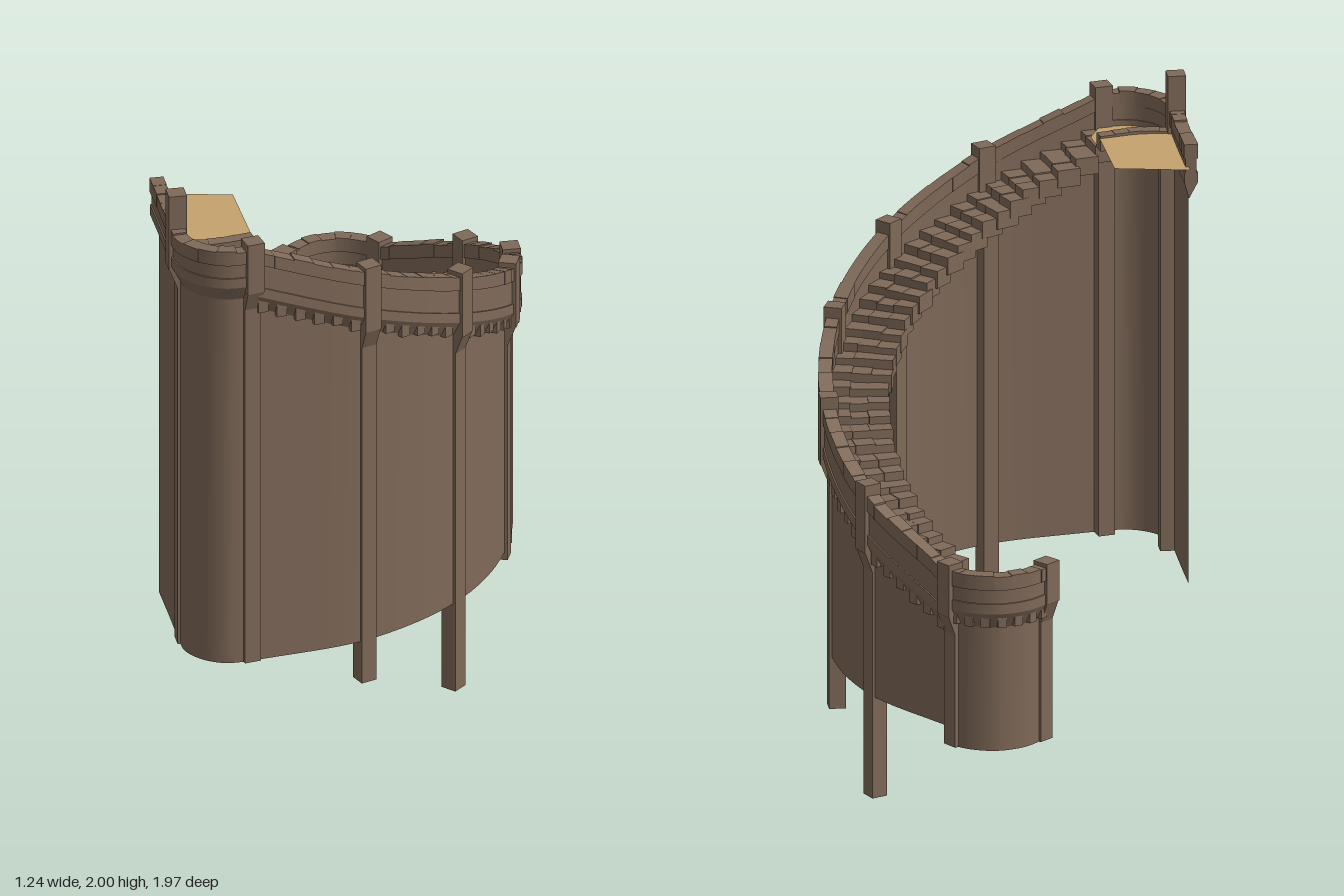
import * as THREE from 'three';

const stone = new THREE.MeshStandardMaterial({ color: 0x7f6958, side: THREE.DoubleSide });
stone.name = 'brownStone';
const sand = new THREE.MeshStandardMaterial({ color: 0xc4a26c, side: THREE.DoubleSide });
sand.name = 'sandFloor';

// Small seeded random in -1..1
let seed = 7;
const jitter = () => {
  seed = (seed * 16807) % 2147483647;
  return (seed / 2147483647) * 2 - 1;
};

const curveOf = (pts) => new THREE.CatmullRomCurve3(pts.map(([x, z]) => new THREE.Vector3(x, 0, z)), false, 'centripetal');

// Plan curves, from the bottom of the stairs to the top
const low = curveOf([[-0.12, -0.855], [-0.05, -0.93], [0.045, -0.965], [0.14, -0.945], [0.195, -0.905]]);
const main = curveOf([[0.195, -0.905], [0.465, -0.585], [0.587, -0.21], [0.565, 0.185], [0.398, 0.54], [0.085, 0.81], [-0.31, 0.945]]);
const high = curveOf([[-0.31, 0.945], [-0.4, 0.957], [-0.48, 0.925], [-0.535, 0.86], [-0.552, 0.78]]);
const back = curveOf([[-0.552, 0.78], [-0.575, 0.61], [-0.6, 0.44]]);
const beam = curveOf([[-0.55, 0.775], [-0.43, 0.768], [-0.3, 0.725]]);

// Point, outward direction and rail height along a curve
function frame(curve, t, h0, h1) {
  const p = curve.getPointAt(t), d = curve.getTangentAt(t);
  return { x: p.x, z: p.z, nx: d.z, nz: -d.x, h: h0 + (h1 - h0) * t };
}
function frames(curve, h0, h1, n, t0 = 0, t1 = 1) {
  return Array.from({ length: n + 1 }, (_, i) => frame(curve, t0 + ((t1 - t0) * i) / n, h0, h1));
}

// Sweep a profile of [outward, height] points; each profile edge keeps a sharp crease
function sweep(fr, profile, closed = true) {
  const pos = [], index = [];
  const put = (f, [o, y]) => pos.push(f.x + f.nx * o, typeof y === 'object' ? y.at : f.h + y, f.z + f.nz * o);
  const edges = closed ? profile.length : profile.length - 1;
  for (let j = 0; j < edges; j++) {
    const base = pos.length / 3;
    for (const f of fr) {
      put(f, profile[j]);
      put(f, profile[(j + 1) % profile.length]);
    }
    for (let i = 0; i < fr.length - 1; i++) {
      const a = base + i * 2;
      index.push(a, a + 2, a + 3, a, a + 3, a + 1);
    }
  }
  if (closed) {
    [fr[0], fr[fr.length - 1]].forEach((f, end) => {
      const b = pos.length / 3;
      profile.forEach((p) => put(f, p));
      for (let k = 1; k < profile.length - 1; k++) {
        if (end) index.push(b, b + k + 1, b + k);
        else index.push(b, b + k, b + k + 1);
      }
    });
  }
  const g = new THREE.BufferGeometry();
  g.setAttribute('position', new THREE.Float32BufferAttribute(pos, 3));
  g.setIndex(index);
  g.computeVertexNormals();
  return g;
}
const band = (inner, outer, top, bottom) => [[outer, top], [outer, bottom], [inner, bottom], [inner, top]];

export function createModel() {
  const model = new THREE.Group();
  const add = (name, geo, mat = stone, parent = model) => {
    const m = new THREE.Mesh(geo, mat);
    m.name = name;
    parent.add(m);
    return m;
  };
  const group = (name) => {
    const g = new THREE.Group();
    g.name = name;
    model.add(g);
    return g;
  };
  // Block at a frame, turned so that its x axis points outward
  const block = (name, f, off, top, w, h, d, parent) => {
    const m = add(name, new THREE.BoxGeometry(w, h, d), stone, parent);
    m.position.set(f.x + f.nx * off, top - h / 2, f.z + f.nz * off);
    m.rotation.y = Math.atan2(-f.nz, f.nx);
    return m;
  };

  // Walls with parapet, flared ledge and cap stones
  const sections = [
    { name: 'lowLanding', curve: low, h: [0.9, 0.9], tall: 0.125, foot: 0.29, n: 20, caps: 7 },
    { name: 'stair', curve: main, h: [0.895, 1.868], tall: 0.16, foot: 0.35, n: 72, caps: 36 },
    { name: 'highLanding', curve: high, h: [1.87, 1.87], tall: 0.125, foot: 0.35, n: 20, caps: 6 },
    { name: 'back', curve: back, h: [1.87, 1.87], tall: 0.125, foot: 0.35, n: 6, caps: 6 },
  ];
  for (const { name, curve, h: [h0, h1], tall, foot, n, caps } of sections) {
    const fr = frames(curve, h0, h1, n);
    add(name + 'Wall', sweep(fr, [[-0.008, -tall], [-0.008, { at: foot }]], false));
    add(name + 'Panel', sweep(fr, band(-0.018, 0.017, -0.03, -tall)));
    add(name + 'Ledge', sweep(fr, [[0.022, -tall + 0.035], [0.022, -tall], [-0.007, -tall - 0.055], [-0.022, -tall], [-0.022, -tall + 0.035]]));
    const stones = group(name + 'CapStones');
    for (let i = 0; i < caps; i++) {
      const y = 0.006 + jitter() * 0.004, w = 0.023 + jitter() * 0.0015;
      add('capStone', sweep(frames(curve, h0, h1, 3, i / caps, (i + 1) / caps), band(-w, w, y, -0.042)), stone, stones);
    }
  }

  // Small brackets below the ledge
  const brackets = group('brackets');
  for (let i = 0; i < 38; i++) {
    const f = frame(main, (i + 0.5) / 38, 0.895, 1.868);
    block('bracket', f, -0.002, f.h - 0.15, 0.03, 0.062 + jitter() * 0.006, 0.034, brackets);
  }
  for (let i = 0; i < 7; i++) {
    const f = frame(low, (i + 0.5) / 7, 0.9, 0.9);
    block('bracket', f, -0.002, f.h - 0.12, 0.03, 0.055, 0.03, brackets);
  }

  // Stairs: overlapping rows of three loose stones
  const stairs = group('stairs');
  const STEPS = 36;
  for (let i = 0; i < STEPS; i++) {
    const t = (i + 0.5) / STEPS;
    const f = frame(main, t, 0.775, 1.755);
    const ends = Math.min(1, 0.72 + 4 * Math.min(t, 1 - t));
    const width = 0.205 * ends - 0.015;
    for (let k = 0; k < 3; k++) {
      const w = width / 3;
      const s = block('stepStone', f, -0.015 - w * (k + 0.5), f.h + 0.008 + jitter() * 0.004,
        w + 0.004 + (k === 2 ? jitter() * 0.008 : 0), 0.06, 0.078 + jitter() * 0.006, stairs);
      s.rotation.y += 0.06 + jitter() * 0.05;
    }
  }

  // Posts: head block, corbel tapering back, and long pier
  const post = (f, top, headHeight, foot) => {
    const g = group('post');
    block('postHead', f, 0, top, 0.06, headHeight, 0.06, g);
    const c = block('postCorbel', f, 0, top - headHeight, 0.056, 0.07, 0.056, g);
    const p = c.geometry.attributes.position;
    for (let i = 0; i < p.count; i++) if (p.getY(i) < 0) p.setX(i, p.getX(i) - 0.027);
    c.geometry.computeVertexNormals();
    const pierTop = top - headHeight - 0.02;
    block('postPier', f, -0.027, pierTop, 0.056, pierTop - foot, 0.056, g);
  };
  [0.29, 0, 0.17, 0.32, 0.03, 0.2, 0.35].forEach((foot, i) => post(frame(main, i / 6, 0, 0), 0.93 + i * 0.162, i % 6 ? 0.235 : 0.18, foot));
  post(frame(low, 0, 0, 0), 0.915, 0.14, 0.29);
  post(frame(back, 0, 0, 0), 2.0, 0.27, 0.35);

  // Curved sill between the two upper floors
  const sill = group('sill');
  for (let i = 0; i < 5; i++) {
    add('sillStone', sweep(frames(beam, 1.8, 1.8, 3, i / 5, (i + 1) / 5), band(-0.021, 0.021, 0.008 + jitter() * 0.003, -0.045)), stone, sill);
  }

  // Floors
  const floor = (name, pts, y) => {
    const g = new THREE.ShapeGeometry(new THREE.Shape(pts.map(([x, z]) => new THREE.Vector2(x, -z))));
    add(name, g.rotateX(-Math.PI / 2).translate(0, y, 0), sand);
  };
  const along = (curve) => curve.getPoints(14).map((p) => [p.x, p.z]);
  floor('lowFloor', [...along(low), [0.17, -0.8], [0.1, -0.705]], 0.785);
  floor('highFloor', [...along(high), [-0.43, 0.77], [-0.3, 0.725], [-0.275, 0.83]], 1.76);
  floor('upperFloor', [[-0.598, 0.41], [-0.35, 0.425], [-0.3, 0.725], [-0.43, 0.768], [-0.55, 0.78]], 1.8);

  return model;
}
